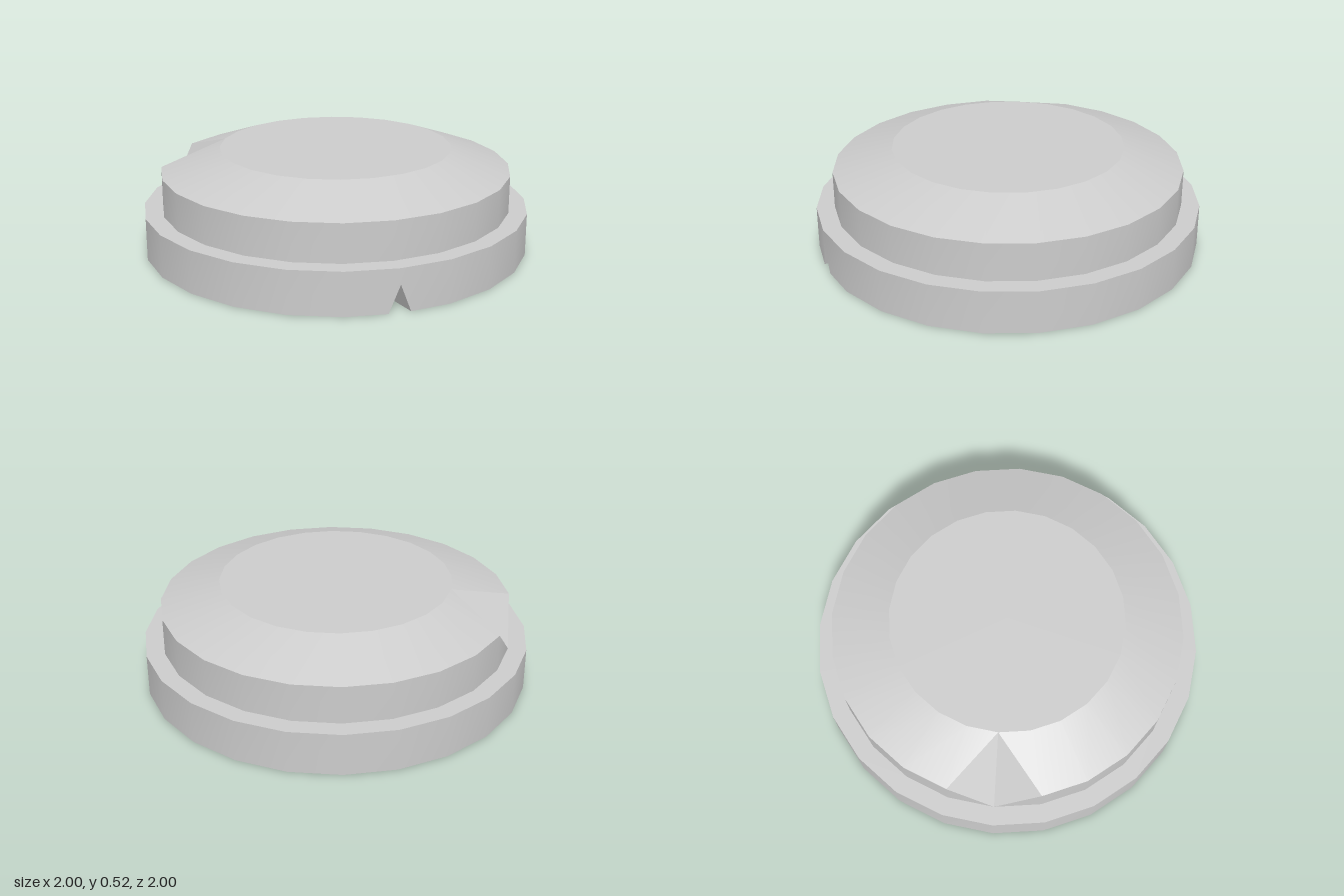
import * as THREE from 'three';
import { toCreasedNormals } from 'three/addons/utils/BufferGeometryUtils.js';

const SIDES = 24;
const wrap = (i) => (i + SIDES) % SIDES;

// Ring of points, running from +x towards +z
function ring(radius, y) {
  return Array.from({ length: SIDES }, (_, i) => {
    const a = (i / SIDES) * Math.PI * 2;
    return new THREE.Vector3(radius * Math.cos(a), y, radius * Math.sin(a));
  });
}

// Collects triangles and turns them into a mesh with sharp creases
class Surface {
  constructor() {
    this.points = [];
  }
  tri(a, b, c) {
    if (new THREE.Triangle(a, b, c).getArea() > 1e-7) this.points.push(a, b, c);
  }
  // One facet between two rings; flip swaps the diagonal
  facet(low, up, i, flip = false) {
    const j = wrap(i + 1);
    if (flip) {
      this.tri(low[j], low[i], up[j]);
      this.tri(low[i], up[i], up[j]);
    } else {
      this.tri(low[j], low[i], up[i]);
      this.tri(low[j], up[i], up[j]);
    }
  }
  band(low, up, skip = [], flipped = []) {
    for (let i = 0; i < SIDES; i++) {
      if (!skip.includes(i)) this.facet(low, up, i, flipped.includes(i));
    }
  }
  disc(outline, facesUp) {
    const centre = new THREE.Vector3(0, outline[0].y, 0);
    outline.forEach((p, i) => {
      const q = outline[(i + 1) % outline.length];
      if (facesUp) this.tri(centre, q, p);
      else this.tri(centre, p, q);
    });
  }
  mesh(name) {
    const geometry = new THREE.BufferGeometry().setFromPoints(this.points);
    const mesh = new THREE.Mesh(
      toCreasedNormals(geometry, 0.3),
      new THREE.MeshStandardMaterial({ color: 0xcccccc })
    );
    mesh.name = name;
    return mesh;
  }
}

// Wide base disc with a small wedge nick in its lower rim
function createBase() {
  const s = new Surface();
  const low = ring(1, 0);
  const up = ring(1, 0.22);
  const inner = ring(0.906, 0.22);
  const n = 3; // corner carrying the nick

  const before = low[n].clone().lerp(low[n - 1], 0.21);
  const after = low[n].clone().lerp(low[n + 1], 0.21);
  const apex = low[n].clone().setY(0.14);
  const inside = low[n].clone().multiplyScalar(0.78);

  // Outer wall, with the two facets beside the nick cut back
  s.band(low, up, [n - 1, n]);
  s.tri(before, low[n - 1], up[n - 1]);
  s.tri(before, up[n - 1], apex);
  s.tri(apex, up[n - 1], up[n]);
  s.tri(low[n + 1], after, apex);
  s.tri(low[n + 1], apex, up[n]);
  s.tri(low[n + 1], up[n], up[n + 1]);

  // Nick walls
  s.tri(apex, inside, before);
  s.tri(apex, after, inside);

  // Ledge and underside
  s.band(up, inner);
  const outline = [...low];
  outline.splice(n, 1, before, inside, after);
  s.disc(outline, false);
  return s.mesh('base');
}

// Narrower cap with a chamfered top and a wedge notch in its shoulder
function createCap() {
  const s = new Surface();
  const low = ring(0.906, 0.22);
  const shoulder = ring(0.906, 0.415);
  const top = ring(0.6, 0.523);
  const n = 11; // corner carrying the notch

  // Dropping one shoulder corner to the ledge forms the notch
  shoulder[n] = low[n];
  s.band(low, shoulder);
  s.band(shoulder, top, [], [n - 1]);
  s.disc(top, true);
  return s.mesh('cap');
}

export function createModel() {
  const model = new THREE.Group();
  model.name = 'notchedDisc';
  model.add(createBase(), createCap());
  return model;
}
